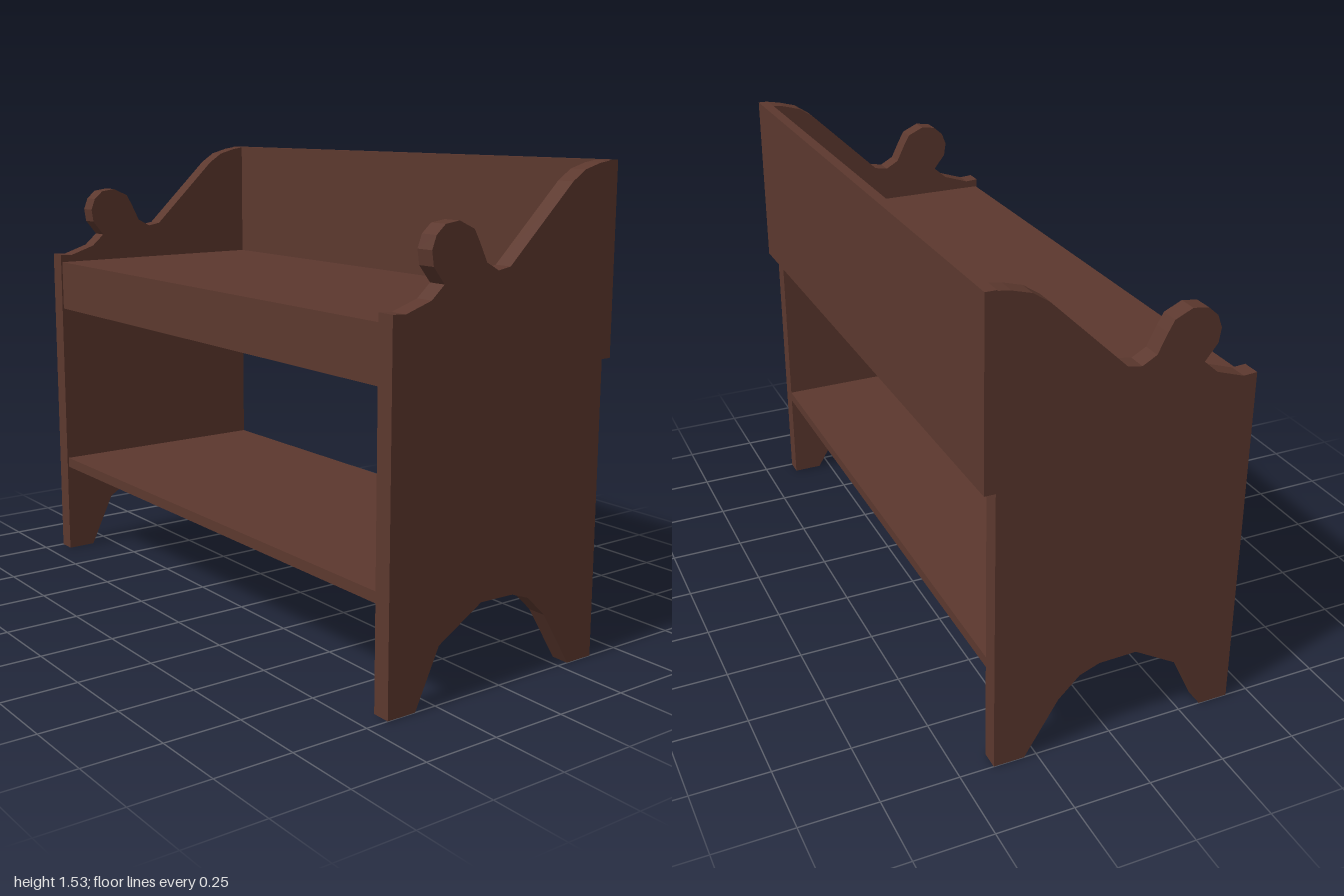
import * as THREE from 'three';

const wood = new THREE.MeshStandardMaterial({ color: 0x5c382e });
wood.name = 'dark wood';

// Side panel outline as [z, y], from the front foot up and over to the back foot
const outline = [
  [0.425, 0], [0.425, 1.143], [0.38, 1.14], [0.29, 1.17], [0.245, 1.21],
  [0.285, 1.26], [0.292, 1.305], [0.277, 1.345], [0.245, 1.373], [0.195, 1.38],
  [0.14, 1.355], [0.12, 1.32], [0.09, 1.26], [0.045, 1.235], [0, 1.243],
  [-0.24, 1.472], [-0.29, 1.505], [-0.35, 1.522], [-0.39, 1.528],
  [-0.39, 0], [-0.29, 0], [-0.18, 0.18], [-0.11, 0.248], [-0.045, 0.272],
  [0.08, 0.275], [0.24, 0.18], [0.325, 0],
];

export function createModel() {
  const bench = new THREE.Group();
  bench.name = 'bench';

  // Board given by its lower and upper corners
  const board = (name, [x0, y0, z0], [x1, y1, z1]) => {
    const mesh = new THREE.Mesh(new THREE.BoxGeometry(x1 - x0, y1 - y0, z1 - z0), wood);
    mesh.position.set((x0 + x1) / 2, (y0 + y1) / 2, (z0 + z1) / 2);
    mesh.name = name;
    bench.add(mesh);
  };

  // Scrolled side panels with arched feet
  const shape = new THREE.Shape(outline.map(([z, y]) => new THREE.Vector2(-z, y)));
  const panel = new THREE.ExtrudeGeometry(shape, { depth: 0.06, bevelEnabled: false });
  panel.rotateY(Math.PI / 2);
  for (const [name, x] of [['leftSide', 0.94], ['rightSide', -1]]) {
    const mesh = new THREE.Mesh(panel, wood);
    mesh.position.x = x;
    mesh.name = name;
    bench.add(mesh);
  }

  // Boards spanning between the sides
  board('backrest', [-1, 0.94, -0.425], [1, 1.53, -0.39]);
  board('seat', [-0.94, 1.08, -0.39], [0.94, 1.115, 0.42]);
  board('apron', [-0.94, 0.94, 0.385], [0.94, 1.08, 0.42]);
  board('shelf', [-0.94, 0.325, -0.39], [0.94, 0.36, 0.42]);

  return bench;
}
